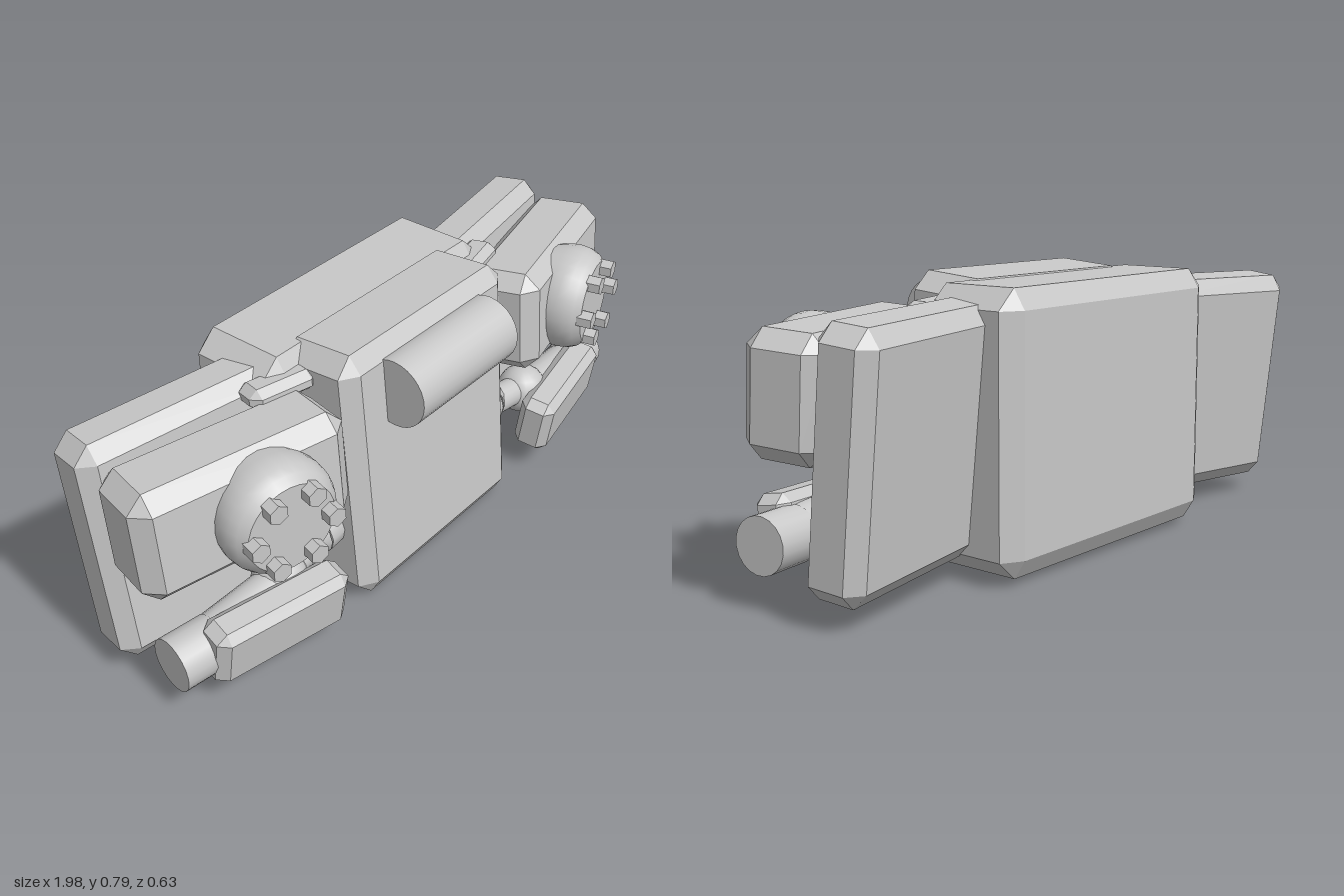
import * as THREE from 'three';
import { ConvexGeometry } from 'three/addons/geometries/ConvexGeometry.js';

const grey = new THREE.MeshStandardMaterial({ color: 0xc8c8c8 });
grey.name = 'light grey';

// Box with every edge chamfered; c = inset along x, y and z
function chamferBox(w, h, d, [cx, cy, cz]) {
  const pts = [];
  for (const x of [-w / 2, w / 2]) for (const y of [-h / 2, h / 2]) for (const z of [-d / 2, d / 2]) {
    const ix = x - Math.sign(x) * cx, iy = y - Math.sign(y) * cy, iz = z - Math.sign(z) * cz;
    pts.push(new THREE.Vector3(x, iy, iz), new THREE.Vector3(ix, y, iz), new THREE.Vector3(ix, iy, z));
  }
  return new ConvexGeometry(pts);
}

function add(parent, name, geometry, pos = [0, 0, 0], rot = [0, 0, 0]) {
  const mesh = new THREE.Mesh(geometry, grey);
  mesh.name = name;
  mesh.position.set(...pos);
  mesh.rotation.set(...rot);
  parent.add(mesh);
  return mesh;
}

// Cylinder between two points
function rod(parent, name, a, b, ra, rb = ra, sides = 20) {
  const p = new THREE.Vector3(...a), q = new THREE.Vector3(...b);
  const dir = q.clone().sub(p);
  const mesh = add(parent, name, new THREE.CylinderGeometry(rb, ra, dir.length(), sides));
  mesh.position.copy(p).add(q).multiplyScalar(0.5);
  mesh.quaternion.setFromUnitVectors(new THREE.Vector3(0, 1, 0), dir.normalize());
}

function buildSide(s) {
  const side = new THREE.Group();
  side.name = s > 0 ? 'leftSide' : 'rightSide';

  // Swept rear panel and the pod in front of it
  add(side, 'rearPanel', chamferBox(0.62, 0.67, 0.17, [0.045, 0.045, 0.035]),
    [0.65 * s, 0.405, -0.145], [-0.105, 0.175 * s, 0]);
  add(side, 'upperPod', chamferBox(0.61, 0.32, 0.23, [0.045, 0.045, 0.045]),
    [0.675 * s, 0.552, 0.04], [-0.07, 0.24 * s, 0]);
  add(side, 'topBracket', chamferBox(0.2, 0.06, 0.1, [0.025, 0.02, 0.025]),
    [0.42 * s, 0.71, -0.025], [-0.07, 0.24 * s, 0]);

  // Round hatch with a ring of hexagonal bolts
  const hatch = new THREE.Group();
  hatch.name = 'roundHatch';
  hatch.position.set(0.675 * s, 0.555, 0.05);
  hatch.rotation.y = 0.24 * s;
  side.add(hatch);
  const rim = [[0.15, 0.06], [0.158, 0.1], [0.16, 0.13], [0.156, 0.158], [0.145, 0.182], [0.125, 0.203]]
    .map(([r, y]) => new THREE.Vector2(r, y));
  add(hatch, 'hatchRim', new THREE.LatheGeometry(rim, 28), [-0.045 * s, 0, 0], [Math.PI / 2, 0, 0]);
  add(hatch, 'hatchFace', new THREE.CircleGeometry(0.125, 28), [-0.045 * s, 0, 0.203]);
  for (let i = 0; i < 6; i++) {
    const a = i * Math.PI / 3;
    add(hatch, 'bolt', new THREE.CylinderGeometry(0.028, 0.028, 0.05, 6).toNonIndexed(),
      [-0.045 * s + 0.11 * Math.cos(a), 0.105 * Math.sin(a), 0.213], [Math.PI / 2, 0, 0])
      .geometry.computeVertexNormals();
  }

  // Jointed lower arm with its guard
  add(side, 'armGuard', chamferBox(0.42, 0.185, 0.11, [0.03, 0.025, 0.025]),
    [0.665 * s, 0.177, 0.165], [0.15, 0.19 * s, 0]);
  rod(side, 'armCylinder', [0.95 * s, 0.175, 0.07], [0.82 * s, 0.175, 0.09], 0.076);
  rod(side, 'armTaper', [0.82 * s, 0.175, 0.09], [0.56 * s, 0.21, 0.1], 0.074, 0.06);
  add(side, 'elbow', new THREE.SphereGeometry(0.078, 16, 12), [0.57 * s, 0.218, 0.09]);
  rod(side, 'armRod', [0.57 * s, 0.225, 0.09], [0.3 * s, 0.25, 0.07], 0.045);
  rod(side, 'shoulderCollar', [0.44 * s, 0.248, 0.07], [0.405 * s, 0.25, 0.07], 0.045, 0.066, 12);
  rod(side, 'shoulderSocket', [0.405 * s, 0.25, 0.07], [0.33 * s, 0.252, 0.065], 0.066, 0.066, 12);
  return side;
}

export function createModel() {
  const model = new THREE.Group();
  model.name = 'equipmentPack';

  // Central blocks
  add(model, 'rearBlock', chamferBox(0.92, 0.755, 0.3, [0.06, 0.055, 0.035]), [0, 0.4025, -0.157]);
  add(model, 'frontBlock', chamferBox(0.7, 0.782, 0.25, [0.05, 0.05, 0.035]), [0, 0.402, 0.06], [-0.083, 0, 0]);
  add(model, 'frontRoll', new THREE.CylinderGeometry(0.1, 0.1, 0.42, 28), [0, 0.665, 0.193], [0, 0, Math.PI / 2]);

  for (const s of [1, -1]) model.add(buildSide(s));
  return model;
}
